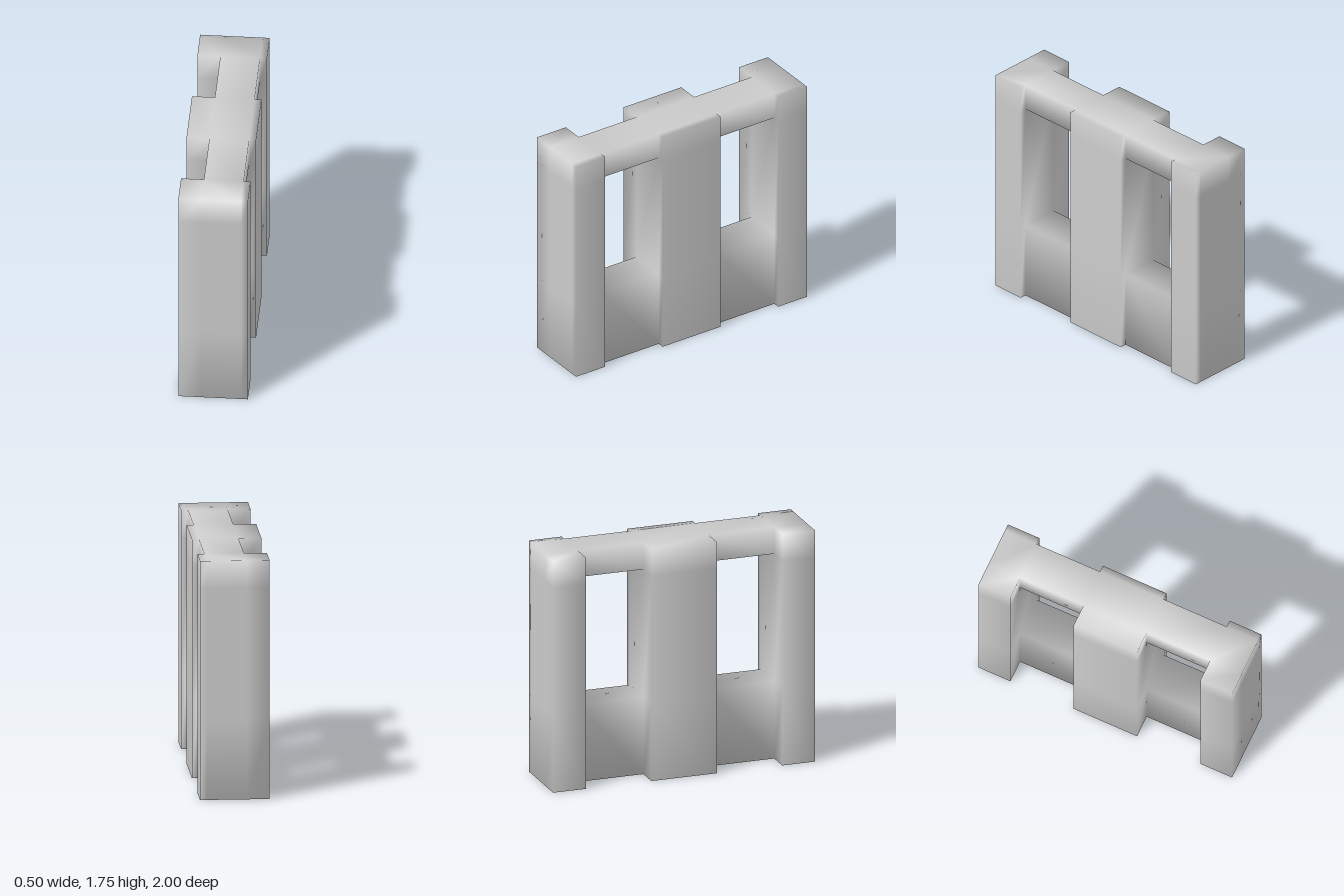
import * as THREE from 'three';

// Cut planes shared by the posts and rails
const CUTS = [
  [-0.25, -0.085, 0.2, 0.25],
  [0, 0.585, 1.55, 1.75],
  [-1, -0.75, -0.25, 0.25, 0.75, 1],
];

// Posts fill a whole z slice; rails fill only the core of the slices between
function partAt([x, y, z]) {
  if (x < 0 || x > 2 || y < 0 || y > 2 || z < 0 || z > 4) return null;
  if (z % 2 === 0) return ['backPost', 'middlePost', 'frontPost'][z / 2];
  if (x !== 1 || y === 1) return null;
  return (z === 1 ? 'back' : 'front') + (y === 0 ? 'LowerPanel' : 'TopRail');
}

export function createModel() {
  const group = new THREE.Group();
  const parts = {};    // part name -> list of triangle corners
  const normals = {};  // lattice point -> summed normal, shared across parts

  const point = (c) => new THREE.Vector3(...c.map((i, a) => CUTS[a][i]));

  // Outer skin: a face wherever a solid cell meets an empty one
  for (let x = 0; x < 3; x++) for (let y = 0; y < 3; y++) for (let z = 0; z < 5; z++) {
    const cell = [x, y, z];
    const name = partAt(cell);
    if (!name) continue;
    for (let a = 0; a < 3; a++) for (const side of [0, 1]) {
      const next = [...cell];
      next[a] += side ? 1 : -1;
      if (partAt(next)) continue;
      const b = (a + 1) % 3, c = (a + 2) % 3;
      const quad = [[0, 0], [1, 0], [1, 1], [0, 1]].map(([u, v]) => {
        const p = [...cell];
        p[a] += side;
        p[b] += u;
        p[c] += v;
        return p;
      });
      if (!side) quad.reverse();
      for (const tri of [[0, 1, 2], [0, 2, 3]]) {
        const corners = tri.map((i) => quad[i]);
        const [p, q, r] = corners.map(point);
        const n = q.sub(p).cross(r.sub(p));
        for (const k of corners) {
          (normals[k] ??= new THREE.Vector3()).add(n);
          (parts[name] ??= []).push(k);
        }
      }
    }
  }

  // One smooth-shaded mesh per post, rail and panel
  const material = new THREE.MeshStandardMaterial({ color: 0xcccccc });
  for (const [name, corners] of Object.entries(parts)) {
    const geometry = new THREE.BufferGeometry().setFromPoints(corners.map(point));
    const flat = corners.flatMap((k) => normals[k].clone().normalize().toArray());
    geometry.setAttribute('normal', new THREE.Float32BufferAttribute(flat, 3));
    const mesh = new THREE.Mesh(geometry, material);
    mesh.name = name;
    group.add(mesh);
  }
  return group;
}
